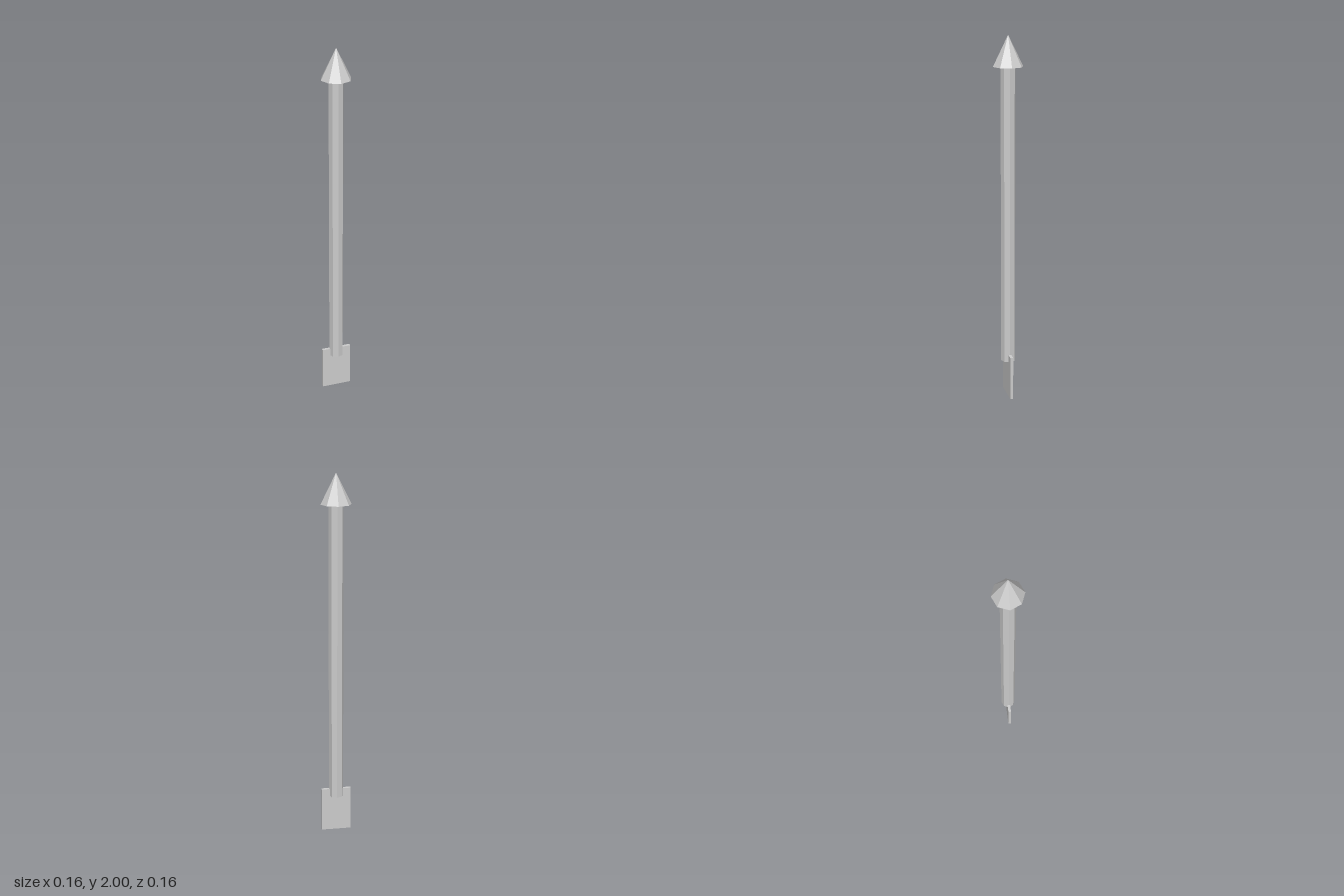
import * as THREE from 'three';

export function createModel() {
  const model = new THREE.Group();
  model.name = 'arrow';
  const material = new THREE.MeshStandardMaterial({ color: 0xcccccc, flatShading: true });

  const SIDES = 8;
  const TIP_Y = 2, HEAD_Y = 1.838, SHAFT_Y = 0.205, VANE_TOP = 0.247;

  // Adds a part standing between two heights
  function addPart(name, geometry, bottom, top) {
    const mesh = new THREE.Mesh(geometry, material);
    mesh.name = name;
    mesh.position.y = (bottom + top) / 2;
    model.add(mesh);
  }

  // Pointed head with a flat underside
  addPart('arrowHead', new THREE.ConeGeometry(0.081, TIP_Y - HEAD_Y, SIDES), HEAD_Y, TIP_Y);

  // Octagonal shaft
  addPart('shaft', new THREE.CylinderGeometry(0.04, 0.04, HEAD_Y - SHAFT_Y, SIDES), SHAFT_Y, HEAD_Y);

  // Flat fletching plate through the shaft's lower end
  addPart('fletching', new THREE.BoxGeometry(0.164, VANE_TOP, 0.016), 0, VANE_TOP);

  return model;
}
